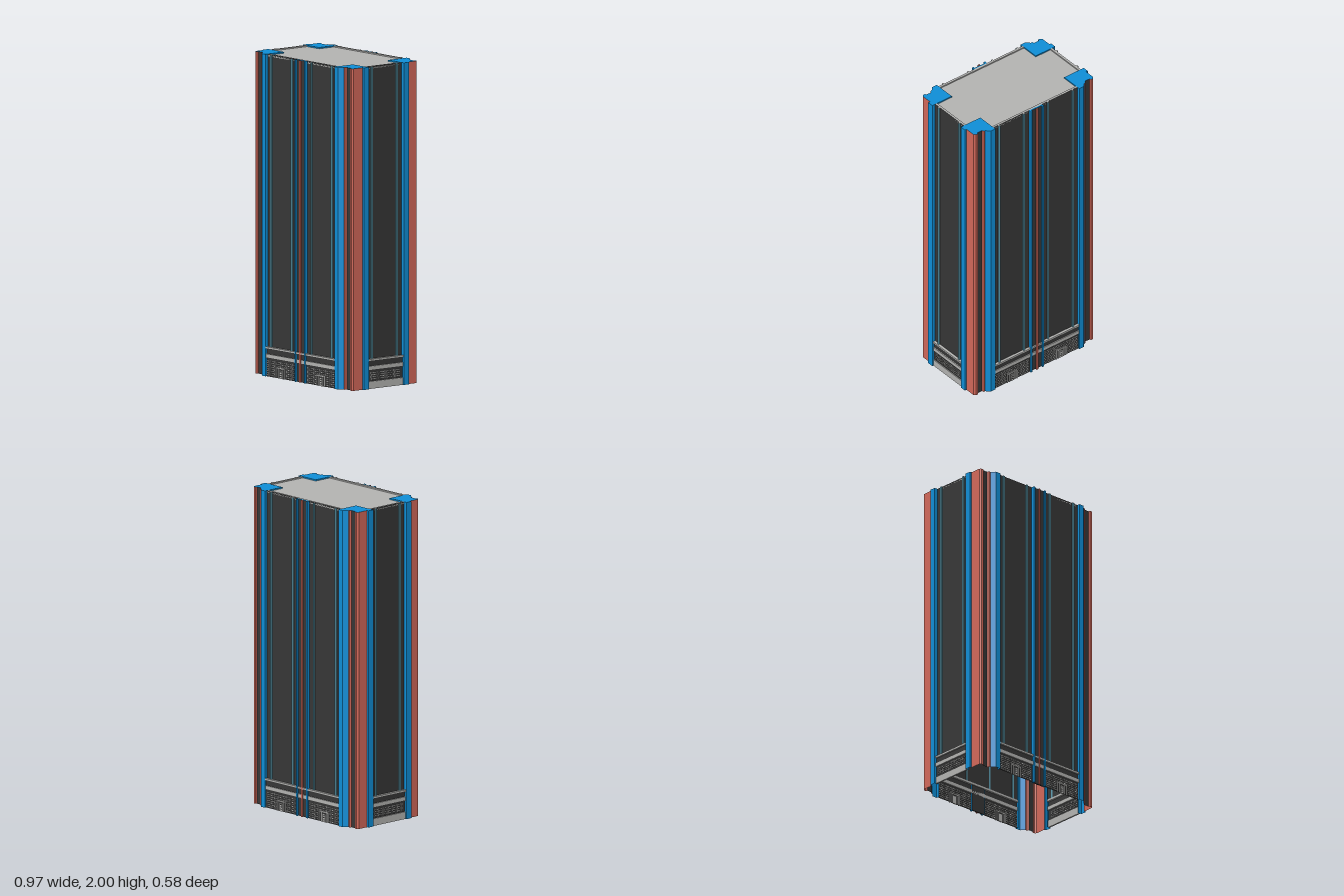
import * as THREE from 'three';
import { mergeGeometries } from 'three/addons/utils/BufferGeometryUtils.js';

const mat = (name, color) => {
  const m = new THREE.MeshStandardMaterial({ color, side: THREE.DoubleSide });
  m.name = name;
  return m;
};

export function createModel() {
  const blue = mat('blue cladding', 0x0f8fd8);
  const red = mat('red cladding', 0xd4695a);
  const dark = mat('dark glass', 0x373737);
  const grey = mat('grey concrete', 0xb4b4b2);
  const teal = mat('pale teal mullion', 0x5fa0b4);
  const H = 2, LEDGE = 0.18;
  const model = new THREE.Group();
  model.name = 'tower';

  const add = (parent, name, geometry, material) => {
    const mesh = new THREE.Mesh(geometry, material);
    mesh.name = name;
    parent.add(mesh);
    return mesh;
  };
  // box given by its limits
  const box = (x0, x1, y0, y1, z0, z1) =>
    new THREE.BoxGeometry(x1 - x0, y1 - y0, z1 - z0)
      .translate((x0 + x1) / 2, (y0 + y1) / 2, (z0 + z1) / 2);

  // vertical wall along a plan polyline, one material per segment
  function wall(points, materials, y0, y1) {
    const pos = [], g = new THREE.BufferGeometry();
    const list = [...new Set(materials)];
    for (let i = 0; i < points.length - 1; i++) {
      const [ax, az] = points[i], [bx, bz] = points[i + 1];
      pos.push(ax, y0, az, bx, y0, bz, bx, y1, bz, ax, y0, az, bx, y1, bz, ax, y1, az);
      g.addGroup(i * 6, 6, list.indexOf(materials[i]));
    }
    g.setAttribute('position', new THREE.Float32BufferAttribute(pos, 3));
    g.computeVertexNormals();
    return [g, list];
  }

  // corner pillars: hollow shell with coloured facets and a blue cap
  const profile = [
    [0.33, 0.265], [0.33, 0.288], [0.365, 0.288], [0.39, 0.263], [0.4, 0.263],
    [0.405, 0.25], [0.442, 0.25], [0.445, 0.26], [0.46, 0.26], [0.47, 0.25],
    [0.47, 0.18], [0.483, 0.18], [0.483, 0.14], [0.455, 0.14]];
  const facets = [blue, blue, blue, red, red, dark, red, red, red, red, blue, blue, blue];
  for (const sx of [-1, 1]) for (const sz of [-1, 1]) {
    const pillar = new THREE.Group();
    pillar.name = 'cornerPillar';
    // reversing keeps the facets facing outward on mirrored corners
    let pts = profile.map(([x, z]) => [x * sx, z * sz]), mats = facets.slice();
    if (sx * sz < 0) { pts.reverse(); mats.reverse(); }
    add(pillar, 'pillarCladding', ...wall(pts, mats, 0, H));
    const inner = [[0.33 * sx, 0.265 * sz], [0.33 * sx, 0.14 * sz], [0.455 * sx, 0.14 * sz]];
    add(pillar, 'capEdge', ...wall(inner, [blue, blue], H - 0.012, H));
    const outline = [...profile, [0.33, 0.14]].map(([x, z]) => new THREE.Vector2(x * sx, -z * sz));
    const cap = new THREE.ShapeGeometry(new THREE.Shape(outline));
    add(pillar, 'pillarCap', cap.rotateX(-Math.PI / 2).translate(0, H, 0), blue);
    model.add(pillar);
  }

  // rows of small grey dashes between two limits on a base wall at depth d
  function lattice(x0, x1, y0, y1, d, skip = () => false) {
    const parts = [], step = 0.0115, rise = 0.0125;
    const n = Math.floor((x1 - x0) / step), rows = Math.floor((y1 - y0) / rise);
    for (let r = 0; r < rows; r++) for (let i = 0; i < n; i++) {
      const x = x0 + (i + 0.2 + 0.3 * (r % 2)) * step, y = y0 + (r + 0.25) * rise;
      if (!skip(x, y)) parts.push(box(x, x + 0.006, y, y + 0.0055, d - 0.003, d + 0.003));
    }
    return mergeGeometries(parts);
  }

  // one facade, built facing +z: half width w, wall depth d
  function facade(name, w, d, mullions) {
    const f = new THREE.Group();
    f.name = name;
    const base = d + 0.008;
    add(f, 'glassWall', ...wall([[-w, d], [w, d]], [dark], LEDGE, H));
    add(f, 'baseWall', ...wall([[-w, base], [w, base]], [dark], 0, LEDGE));
    add(f, 'upperLedge', box(-w, w, 0.172, 0.185, d - 0.004, d + 0.017), grey);
    add(f, 'lowerLedge', box(-w, w, 0.115, 0.14, d, d + 0.015), grey);
    add(f, 'parapet', box(-w, w, H - 0.012, H, d - 0.015, d), grey);
    for (const x of mullions) {
      add(f, 'mullion', box(x - 0.006, x + 0.006, LEDGE, H - 0.002, d - 0.002, d + 0.009), teal);
      add(f, 'mullionTop', box(x - 0.006, x + 0.006, H - 0.002, H, d - 0.002, d + 0.009), grey);
    }
    model.add(f);
    return f;
  }

  // long facades with central pier and two entrances
  for (const side of [0, 1]) {
    const d = 0.27, b = d + 0.008;
    const f = facade(side ? 'backFacade' : 'frontFacade', 0.33, d, [-0.29, -0.095, 0.095, 0.29]);
    f.rotation.y = side * Math.PI;
    add(f, 'pierBack', box(-0.05, 0.05, 0, H - 0.002, d, d + 0.008), dark);
    add(f, 'pierTop', box(-0.05, 0.05, H - 0.002, H, d, d + 0.008), blue);
    add(f, 'pierFin', box(-0.006, 0.006, 0, H, d + 0.012, d + 0.02), red);
    for (const s of [-1, 1]) {
      const c = s * 0.192;
      add(f, 'pierFlange', box(s * 0.045 - 0.006, s * 0.045 + 0.006, 0, H, d, d + 0.02), blue);
      const [x0, x1] = s > 0 ? [0.055, 0.33] : [-0.33, -0.055];
      add(f, 'baseLattice', lattice(x0, x1, 0.005, 0.108, b,
        (x, y) => y < 0.068 && Math.abs(x + 0.003 - c) < 0.045), grey);
      // entrance frame with posts, lintels and centre bar
      const frame = [
        box(c - 0.04, c + 0.04, 0.06, 0.067, b - 0.003, b + 0.005),
        box(c - 0.012, c + 0.012, 0, 0.05, b - 0.003, b + 0.005)];
      for (const o of [-0.037, -0.021, 0.021, 0.037])
        frame.push(box(c + o - 0.003, c + o + 0.003, 0, 0.062, b - 0.003, b + 0.005));
      add(f, 'entranceFrame', mergeGeometries(frame), grey);
      for (const y of [0.012, 0.026, 0.04])
        add(f, 'entrancePane', box(c - 0.007, c + 0.007, y, y + 0.005, b + 0.004, b + 0.006), dark);
    }
  }

  // short facades with a solid plinth
  for (const s of [-1, 1]) {
    const d = 0.46, b = d + 0.008;
    const f = facade(s > 0 ? 'leftFacade' : 'rightFacade', 0.14, d, [-0.1, 0.1]);
    f.rotation.y = s * Math.PI / 2;
    add(f, 'plinth', box(-0.14, 0.14, 0, 0.045, b - 0.004, b + 0.006), grey);
    add(f, 'baseLattice', lattice(-0.125, 0.125, 0.055, 0.108, b), grey);
  }

  // recessed roof deck between the corner caps
  const roof = [box(-0.33, 0.33, H - 0.014, H - 0.008, -0.27, 0.27)];
  for (const s of [-1, 1])
    roof.push(box(s * 0.395 - 0.065, s * 0.395 + 0.065, H - 0.014, H - 0.008, -0.14, 0.14));
  add(model, 'roof', mergeGeometries(roof), grey);
  return model;
}
